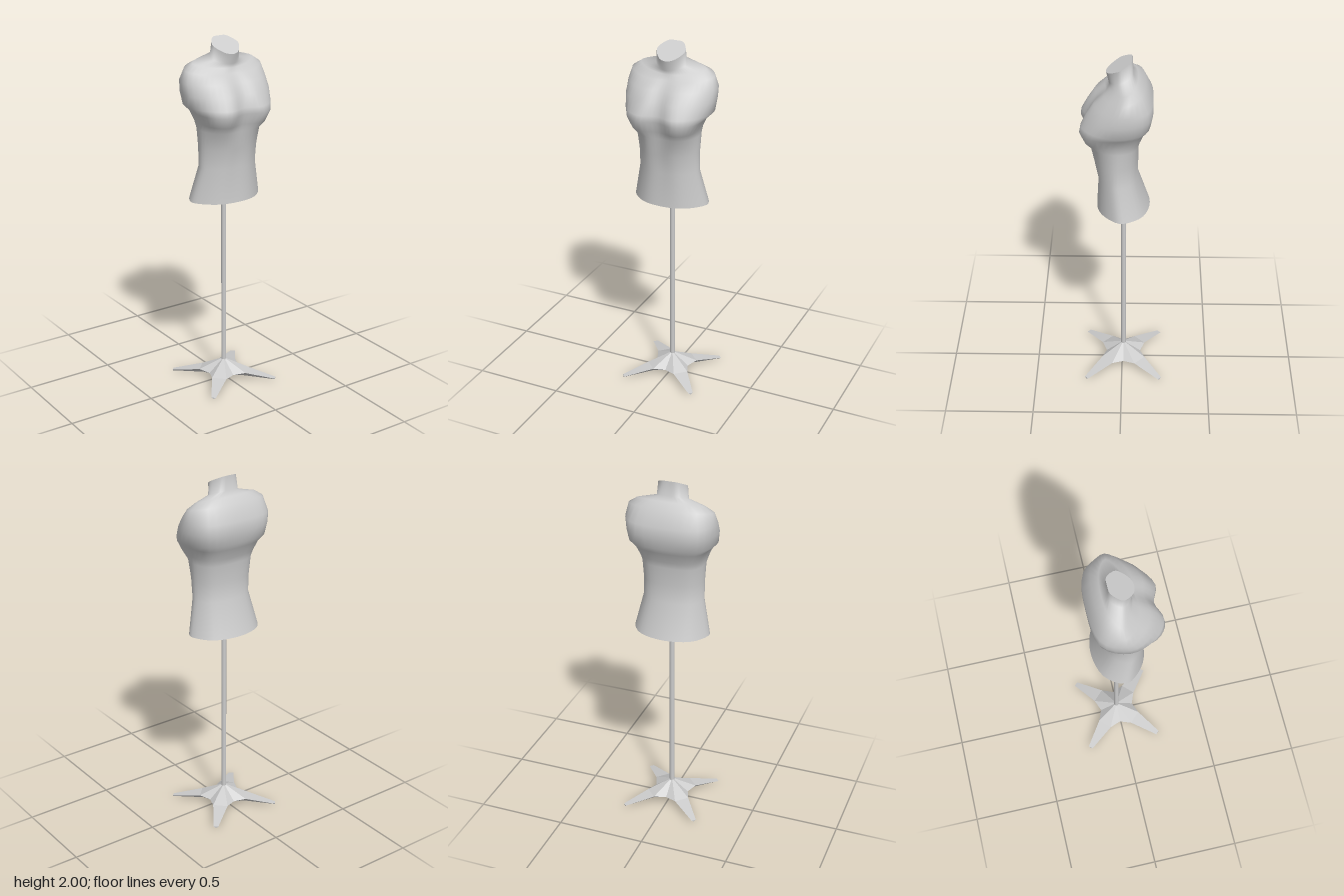
import * as THREE from 'three';

const material = new THREE.MeshStandardMaterial({ color: 0xcccccc });
const RING = 40;
const POLE_Z = -0.008;

// Half cross-sections of the torso, from hem to neck:
// y, front centre z, bust x z, side x z, arm x z, back corner x z, back centre z
const SECTIONS = [
  [1.115, 0.137, 0.1, 0.122, 0.18, 0.065, 0.216, -0.01, 0.145, -0.115, -0.153],
  [1.31, 0.125, 0.08, 0.122, 0.145, 0.08, 0.172, 0.02, 0.12, -0.06, -0.085],
  [1.42, 0.145, 0.08, 0.143, 0.145, 0.095, 0.172, 0.02, 0.12, -0.065, -0.088],
  [1.52, 0.16, 0.09, 0.163, 0.15, 0.115, 0.175, 0.02, 0.13, -0.07, -0.09],
  [1.56, 0.17, 0.1, 0.197, 0.165, 0.145, 0.182, 0.03, 0.14, -0.08, -0.105],
  [1.62, 0.19, 0.105, 0.223, 0.19, 0.16, 0.208, 0.02, 0.16, -0.1, -0.13],
  [1.655, 0.188, 0.1, 0.217, 0.2, 0.147, 0.245, 0.01, 0.18, -0.125, -0.155],
  [1.72, 0.165, 0.09, 0.185, 0.203, 0.122, 0.253, 0.01, 0.19, -0.138, -0.165],
  [1.78, 0.13, 0.09, 0.145, 0.19, 0.095, 0.254, -0.01, 0.19, -0.135, -0.165],
  [1.84, 0.085, 0.08, 0.092, 0.17, 0.06, 0.238, -0.015, 0.17, -0.1, -0.125],
  [1.87, 0.068, 0.06, 0.06, 0.13, 0.035, 0.19, -0.02, 0.12, -0.07, -0.085],
  [1.897, 0.07, 0.04, 0.058, 0.073, 0.03, 0.088, 0, 0.055, -0.052, -0.06],
  [1.97, 0.083, 0.04, 0.07, 0.07, 0.035, 0.08, 0, 0.045, -0.048, -0.054],
];

// Smooth closed ring through a mirrored half section; rings lean forward towards the neck
function sectionRing([y, front, bx, bz, sx, sz, ax, az, kx, kz, back]) {
  const half = [[bx, bz], [sx, sz], [ax, az], [kx, kz]];
  const mirrored = half.map(([x, z]) => [-x, z]).reverse();
  const outline = [[0, front], ...half, [0, back], ...mirrored];
  const lean = 0.55 * THREE.MathUtils.clamp((y - 1.78) / 0.16, 0, 1);
  const curve = new THREE.CatmullRomCurve3(
    outline.map(([x, z]) => new THREE.Vector3(x, y - lean * z, z)), true, 'catmullrom', 0.5);
  return Array.from({ length: RING }, (_, i) => curve.getPoint(i / RING));
}

function buildGeometry(points, index) {
  const geometry = new THREE.BufferGeometry().setFromPoints(points);
  if (index) geometry.setIndex(index);
  geometry.computeVertexNormals();
  return geometry;
}

function addMesh(group, name, geometry) {
  const mesh = new THREE.Mesh(geometry, material);
  mesh.name = name;
  group.add(mesh);
  return mesh;
}

function loft(rings) {
  const index = [];
  for (let r = 0; r < rings.length - 1; r++) {
    for (let i = 0; i < RING; i++) {
      const j = (i + 1) % RING;
      const a = r * RING + i, b = r * RING + j;
      index.push(a, b, b + RING, a, b + RING, a + RING);
    }
  }
  return buildGeometry(rings.flat(), index);
}

// Flat cap over one ring
function cap(ring, facingUp) {
  const centre = ring.reduce((sum, p) => sum.add(p), new THREE.Vector3()).divideScalar(RING);
  const index = [];
  for (let i = 0; i < RING; i++) {
    const j = (i + 1) % RING;
    index.push(RING, facingUp ? i : j, facingUp ? j : i);
  }
  return buildGeometry([...ring, centre], index);
}

// One foot of the star base, pointing along +x, with a keel underneath
function footGeometry() {
  const points = [];
  for (const s of [1, -1]) {
    const v = (x, y, z = 0) => new THREE.Vector3(x, y, z * s);
    const apex = v(0, 0.115), hub = v(0, 0.04), valley = v(0.07, 0.04, 0.07);
    const shoulder = v(0.135, 0.045, 0.042), ridge = v(0.135, 0.045);
    const tip = v(0.303, 0.01, 0.0135), tipMid = v(0.303, 0.01);
    const keel = v(0.12, 0.008), keelTip = v(0.303, 0);
    const faces = [
      [apex, valley, shoulder], [apex, shoulder, ridge],
      [ridge, shoulder, tip], [ridge, tip, tipMid],
      [hub, keel, valley], [valley, keel, shoulder],
      [shoulder, keel, keelTip], [shoulder, keelTip, tip],
      [tipMid, tip, keelTip],
    ];
    for (const [a, b, c] of faces) points.push(...(s > 0 ? [a, b, c] : [a, c, b]));
  }
  return buildGeometry(points);
}

export function createModel() {
  const model = new THREE.Group();
  model.name = 'dressForm';

  // Torso with closed hem and slanted neck top
  const torso = new THREE.Group();
  torso.name = 'torso';
  const rings = SECTIONS.map(sectionRing);
  addMesh(torso, 'torsoSurface', loft(rings));
  addMesh(torso, 'hemCap', cap(rings[0], false));
  addMesh(torso, 'neckCap', cap(rings[rings.length - 1], true));
  model.add(torso);

  // Pole
  const pole = addMesh(model, 'pole', new THREE.CylinderGeometry(0.014, 0.014, 1.02, 12));
  pole.position.set(0, 0.61, POLE_Z);

  // Four-footed base
  const base = new THREE.Group();
  base.name = 'base';
  base.position.z = POLE_Z;
  const foot = footGeometry();
  for (let i = 0; i < 4; i++) {
    addMesh(base, 'foot', foot).rotation.y = Math.PI / 4 + (i * Math.PI) / 2;
  }
  model.add(base);

  return model;
}
